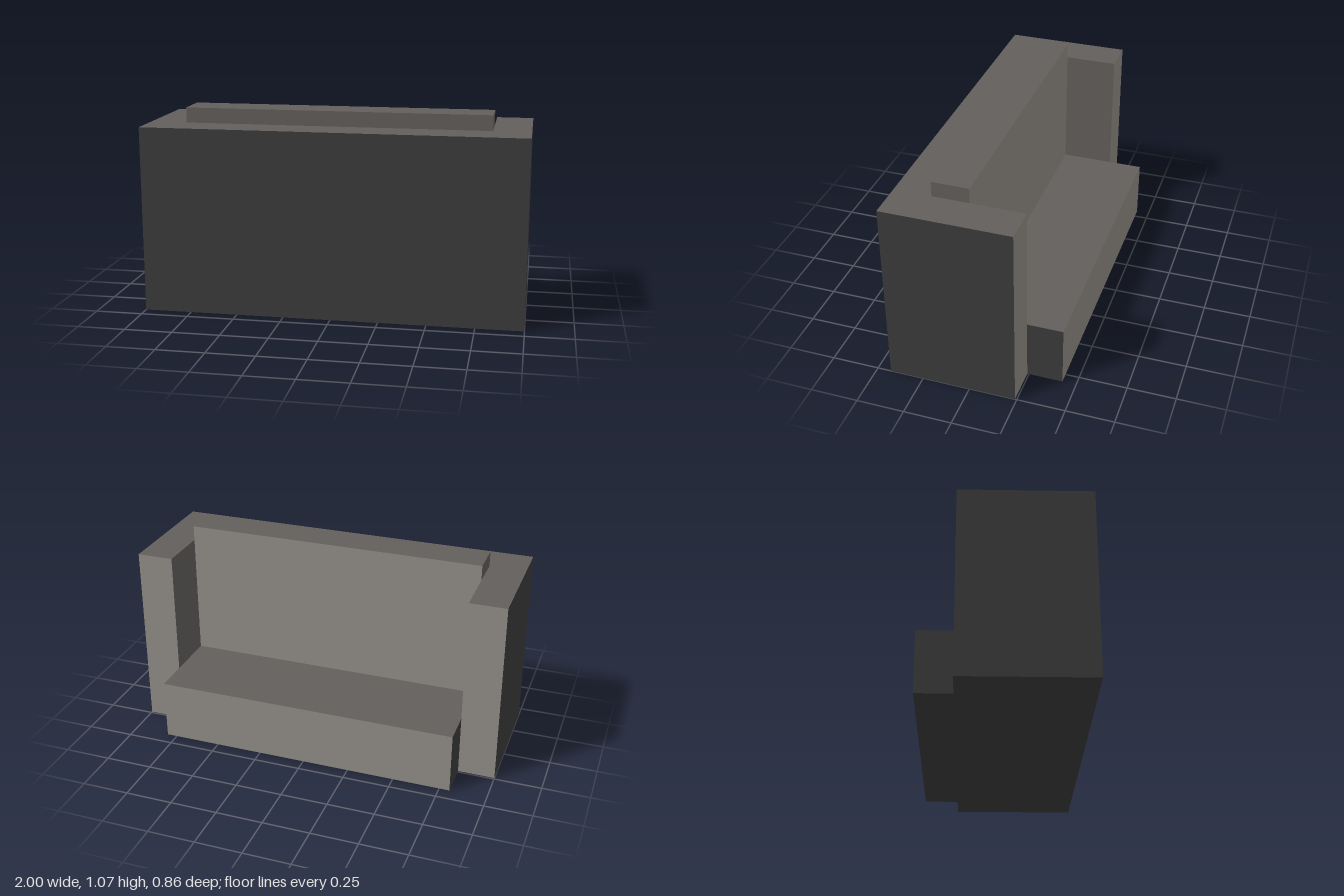
import * as THREE from 'three';

export function createModel() {
  const mat = (name, color) => {
    const m = new THREE.MeshStandardMaterial({ color });
    m.name = name;
    return m;
  };
  const dark = mat('charcoal shell', 0x3b3b3b);
  const mid = mat('warm grey upholstery', 0x615e5b);
  const light = mat('light grey facing', 0x908b86);

  const model = new THREE.Group();
  model.name = 'sofa';

  // Box from min/max corners; face materials in order +x, -x, +y, -y, +z, -z
  const block = (name, [x0, y0, z0], [x1, y1, z1], faces) => {
    const geometry = new THREE.BoxGeometry(x1 - x0, y1 - y0, z1 - z0);
    const mesh = new THREE.Mesh(geometry, faces);
    mesh.name = name;
    mesh.position.set((x0 + x1) / 2, (y0 + y1) / 2, (z0 + z1) / 2);
    model.add(mesh);
  };

  const inner = 0.805, front = 0.428, back = -0.428;
  const armBack = -0.241, restFace = 0.04, height = 0.986;

  // Arms: dark outside, upholstered inside and on top
  block('leftArm', [inner, 0, armBack], [1, height, front], [dark, mid, mid, dark, dark, light]);
  block('rightArm', [-1, 0, armBack], [-inner, height, front], [mid, dark, mid, dark, dark, light]);

  // Backrest between the arms
  block('backrest', [-inner, 0, restFace], [inner, height, front], [mid, mid, mid, dark, dark, light]);

  // Raised pad along the top of the backrest
  block('backrestPad', [-inner, height, restFace], [inner, 1.066, 0.233], [mid, mid, mid, dark, mid, light]);

  // Seat, standing out past the arms
  block('seat', [-inner, 0, back], [inner, 0.324, restFace], [dark, dark, mid, dark, dark, light]);

  return model;
}
